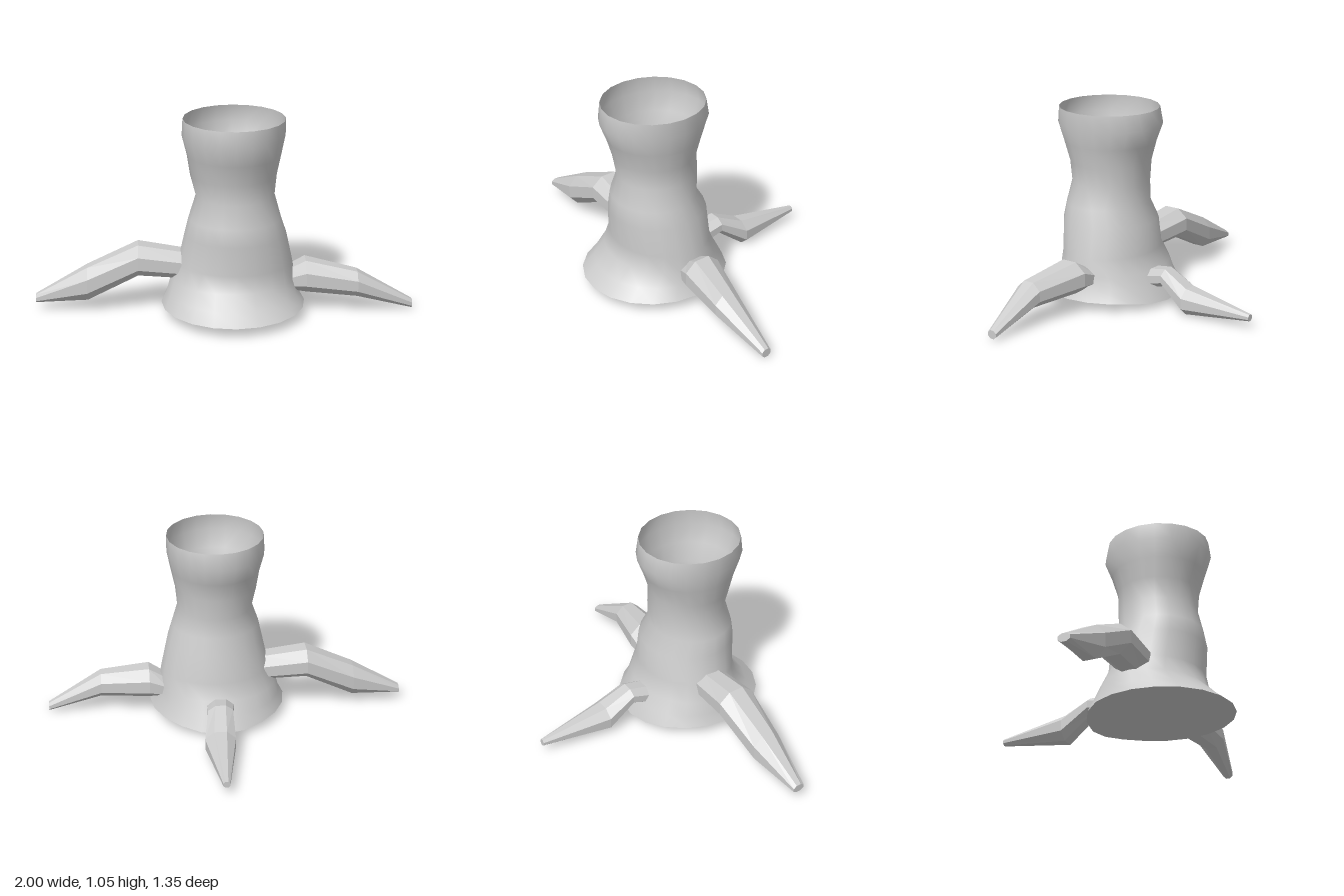
import * as THREE from 'three';

const material = () => new THREE.MeshStandardMaterial({ color: 0xcccccc, side: THREE.DoubleSide });

// Skin a list of closed rings (each an array of Vector3); optionally cap both ends
function loft(rings, caps) {
  const n = rings[0].length;
  const pos = [], index = [];
  rings.forEach(r => r.forEach(p => pos.push(p.x, p.y, p.z)));
  for (let i = 0; i < rings.length - 1; i++) {
    for (let j = 0; j < n; j++) {
      const a = i * n + j, b = i * n + (j + 1) % n;
      index.push(a, b, a + n, b, b + n, a + n);
    }
  }
  if (caps) {
    const last = (rings.length - 1) * n;
    for (let j = 1; j < n - 1; j++) {
      index.push(0, j + 1, j, last, last + j, last + j + 1);
    }
  }
  const geo = new THREE.BufferGeometry();
  geo.setAttribute('position', new THREE.Float32BufferAttribute(pos, 3));
  geo.setIndex(index);
  return geo;
}

// Trunk outline: y, left x, right x, front z, back z
const TRUNK = [
  [0.06, -0.335, 0.425, 0.67, -0.12],
  [0.12, -0.305, 0.39, 0.595, -0.08],
  [0.19, -0.285, 0.375, 0.525, -0.04],
  [0.28, -0.245, 0.36, 0.505, 0.0],
  [0.44, -0.21, 0.325, 0.52, 0.005],
  [0.53, -0.19, 0.295, 0.505, 0.06],
  [0.65, -0.15, 0.262, 0.478, 0.045],
  [0.76, -0.178, 0.272, 0.49, 0.05],
  [0.87, -0.195, 0.295, 0.525, 0.015],
  [0.97, -0.22, 0.315, 0.563, -0.025],
  [1.06, -0.215, 0.315, 0.55, -0.005],
];

function trunkRing([y, left, right, front, back], row) {
  const ring = [];
  for (let j = 0; j < 20; j++) {
    const a = j / 20 * Math.PI * 2;
    const s = Math.sin(a), c = Math.cos(a);
    // the rim of the base sags slightly where the back root leaves it
    const sag = row === 0 ? 0.028 * Math.max(0, -c) ** 6 : 0;
    ring.push(new THREE.Vector3(
      (left + right) / 2 + s * (right - left) / 2,
      y - sag,
      (front + back) / 2 + c * (front - back) / 2));
  }
  return ring;
}

// Root stations: distance along the root, lowest y, highest y, side centre, side half width
function rootGeometry(stations, place) {
  const rings = stations.map(([d, low, high, mid, half]) => {
    const ring = [];
    for (let j = 0; j < 8; j++) {
      const a = (j + 0.5) / 8 * Math.PI * 2;
      const k = 1 / Math.cos(Math.PI / 8);
      ring.push(place(d, (low + high) / 2 + Math.sin(a) * k * (high - low) / 2,
        mid + Math.cos(a) * k * half));
    }
    return ring;
  });
  return loft(rings, true).toNonIndexed();
}

export function createModel() {
  const group = new THREE.Group();
  group.name = 'treeStump';

  const add = (name, geo, flat) => {
    geo.computeVertexNormals();
    const mat = material();
    mat.flatShading = flat;
    const mesh = new THREE.Mesh(geo, mat);
    mesh.name = name;
    group.add(mesh);
  };

  // Hollow trunk, open at the top
  const rings = TRUNK.map(trunkRing);
  add('trunk', loft(rings, false), false);

  // Floor closing the base, facing down
  const floor = [];
  const centre = new THREE.Vector3(0.045, 0.06, 0.275);
  rings[0].forEach((p, j) => {
    const q = rings[0][(j + 1) % rings[0].length];
    floor.push(centre, q, p);
  });
  add('trunkFloor', new THREE.BufferGeometry().setFromPoints(floor), true);

  // Left root (+x)
  add('leftRoot', rootGeometry([
    [0.33, 0.12, 0.225, 0.235, 0.09],
    [0.43, 0.11, 0.283, 0.25, 0.105],
    [0.70, 0.095, 0.232, 0.30, 0.075],
    [1.0, 0.012, 0.058, 0.287, 0.027],
  ], (d, y, s) => new THREE.Vector3(d, y, s)), true);

  // Right root (-x)
  add('rightRoot', rootGeometry([
    [0.21, 0.19, 0.335, 0.22, 0.095],
    [0.455, 0.205, 0.373, 0.235, 0.105],
    [0.725, 0.07, 0.25, 0.23, 0.083],
    [1.0, 0.052, 0.095, 0.23, 0.033],
  ], (d, y, s) => new THREE.Vector3(-d, y, -s + 0.46)), true);

  // Back root (-z)
  add('backRoot', rootGeometry([
    [0.02, 0.09, 0.2, 0.05, 0.075],
    [0.13, 0.125, 0.22, 0.06, 0.068],
    [0.285, 0.005, 0.148, 0.075, 0.083],
    [0.675, 0.05, 0.085, 0.08, 0.018],
  ], (d, y, s) => new THREE.Vector3(s, y, -d)), true);

  // Make every root face outward whichever way it was laid out
  group.children.forEach(mesh => {
    if (!mesh.name.endsWith('Root')) return;
    const p = mesh.geometry.attributes.position;
    let volume = 0;
    const v = [0, 1, 2].map(() => new THREE.Vector3());
    for (let i = 0; i < p.count; i += 3) {
      v.forEach((t, k) => t.fromBufferAttribute(p, i + k));
      volume += v[0].dot(v[1].clone().cross(v[2]));
    }
    if (volume > 0) return;
    for (let i = 0; i < p.count; i += 3) {
      v.forEach((t, k) => t.fromBufferAttribute(p, i + k));
      p.setXYZ(i + 1, v[2].x, v[2].y, v[2].z);
      p.setXYZ(i + 2, v[1].x, v[1].y, v[1].z);
    }
    mesh.geometry.computeVertexNormals();
  });

  return group;
}
